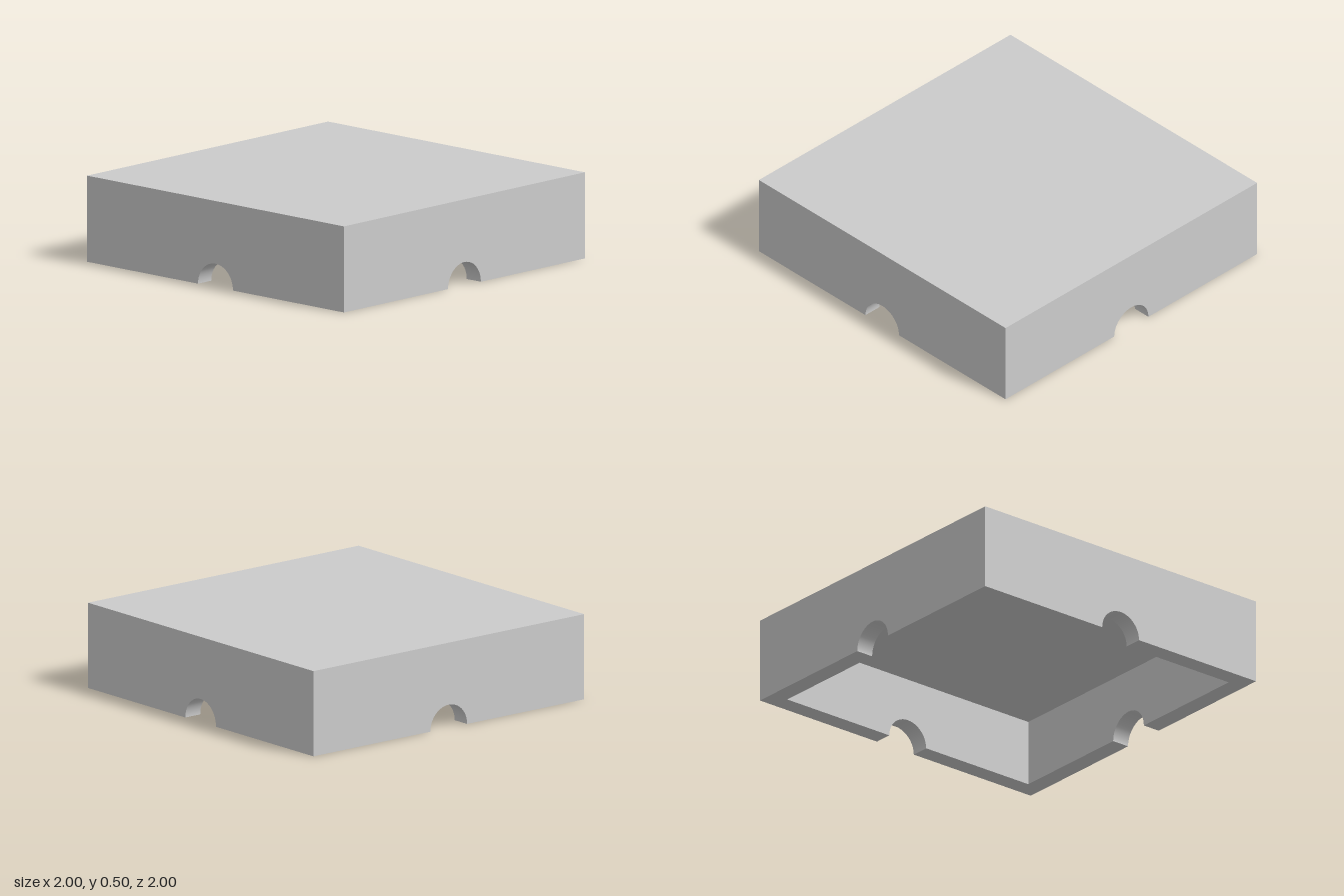
import * as THREE from 'three';
import { mergeGeometries } from 'three/addons/utils/BufferGeometryUtils.js';

const H = 0.5;      // overall height
const T = 0.11;     // wall and roof thickness
const R = 0.136;    // arch radius
const IN = 1 - T;   // half width of the cavity

// Upright panel with a half-round notch in its lower edge
function archedPanel(halfWidth, height) {
  const s = new THREE.Shape();
  s.moveTo(-halfWidth, 0);
  s.lineTo(-R, 0);
  s.absarc(0, 0, R, Math.PI, 0, true);
  s.lineTo(halfWidth, 0);
  s.lineTo(halfWidth, height);
  s.lineTo(-halfWidth, height);
  s.closePath();
  return new THREE.ShapeGeometry(s, 12);
}

// Half of a wall's bottom rim, mitred at the corner and facing down
function rimHalf(side) {
  const pts = [[R, IN], [IN, IN], [1, 1], [R, 1]];
  const s = new THREE.Shape(pts.map(([x, z]) => new THREE.Vector2(side * x, z)));
  return new THREE.ShapeGeometry(s).rotateX(Math.PI / 2);
}

// One wall: outer face, inner face, arch tunnel and rim
function wallGeometry() {
  const tunnel = new THREE.LatheGeometry(
    [new THREE.Vector2(R, T), new THREE.Vector2(R, 0)], 24, Math.PI / 2, Math.PI);
  return mergeGeometries([
    archedPanel(1, H).translate(0, 0, 1),
    archedPanel(IN, H - T).rotateY(Math.PI).translate(0, 0, IN),
    tunnel.rotateX(Math.PI / 2).translate(0, 0, IN),
    rimHalf(1),
    rimHalf(-1),
  ]);
}

export function createModel() {
  const model = new THREE.Group();
  model.name = 'openBottomBox';
  const material = new THREE.MeshStandardMaterial({ color: 0xcccccc });

  const add = (name, geometry) => {
    const mesh = new THREE.Mesh(geometry, material);
    mesh.name = name;
    model.add(mesh);
    return mesh;
  };

  // Four identical walls
  const wall = wallGeometry();
  ['frontWall', 'leftWall', 'backWall', 'rightWall'].forEach((name, i) => {
    add(name, wall).rotation.y = i * Math.PI / 2;
  });

  // Roof top and the ceiling of the cavity
  add('roof', new THREE.PlaneGeometry(2, 2).rotateX(-Math.PI / 2).translate(0, H, 0));
  add('ceiling', new THREE.PlaneGeometry(2 * IN, 2 * IN).rotateX(Math.PI / 2).translate(0, H - T, 0));

  return model;
}
